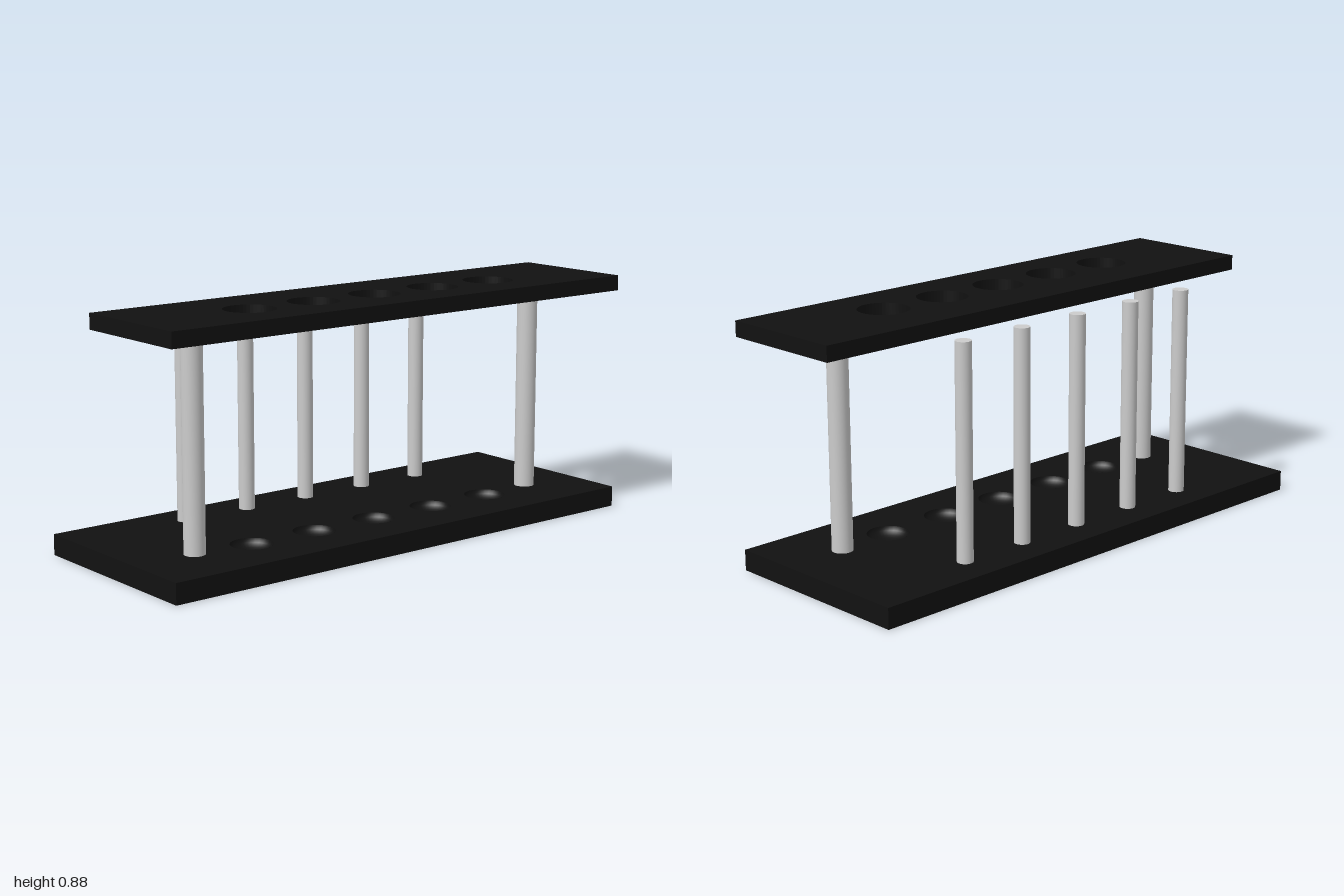
import * as THREE from 'three';

const black = new THREE.MeshStandardMaterial({ color: 0x111111 });
const blackThin = new THREE.MeshStandardMaterial({ color: 0x111111, side: THREE.DoubleSide });
const grey = new THREE.MeshStandardMaterial({ color: 0xcccccc });

const SLOTS = [-0.54, -0.27, 0, 0.27, 0.54];
const SLOT_Z = 0.157;
const BASE_TOP = 0.075;
const SHELF_BOTTOM = 0.828;

function add(group, name, geometry, material, x = 0, y = 0, z = 0) {
  const mesh = new THREE.Mesh(geometry, material);
  mesh.name = name;
  mesh.position.set(x, y, z);
  group.add(mesh);
}

// Horizontal slab from z0 (back) to z1 (front) with one round hole per slot
function drilledSlab(z0, z1, y0, y1, radius) {
  const shape = new THREE.Shape();
  shape.moveTo(-1, -z1).lineTo(1, -z1).lineTo(1, -z0).lineTo(-1, -z0).closePath();
  for (const x of SLOTS) {
    shape.holes.push(new THREE.Path().absarc(x, -SLOT_Z, radius, 0, Math.PI * 2, true));
  }
  return new THREE.ExtrudeGeometry(shape, { depth: y1 - y0, bevelEnabled: false, curveSegments: 24 })
    .rotateX(-Math.PI / 2)
    .translate(0, y0, 0);
}

// Upright rod standing on y0
function rod(radius, y0, y1) {
  return new THREE.CylinderGeometry(radius, radius, y1 - y0, 32).translate(0, (y0 + y1) / 2, 0);
}

export function createModel() {
  const group = new THREE.Group();
  group.name = 'tubeRack';

  // Base: solid lower layer, drilled upper layer, rounded seats in the holes
  const seatRadius = 0.076, seatDepth = 0.04, seatFloor = BASE_TOP - seatDepth;
  add(group, 'baseLower', new THREE.BoxGeometry(2, seatFloor, 0.75), black, 0, seatFloor / 2, 0);
  add(group, 'baseUpper', drilledSlab(-0.375, 0.375, seatFloor, BASE_TOP, seatRadius), black);
  const profile = [];
  for (let i = 0; i <= 8; i++) {
    const a = (i / 8) * Math.PI / 2;
    profile.push(new THREE.Vector2(seatRadius * Math.sin(a), -seatDepth * Math.cos(a) + 0.001 * (1 - i / 8)));
  }
  const seat = new THREE.LatheGeometry(profile, 32);
  for (const x of SLOTS) add(group, 'tubeSeat', seat, blackThin, x, BASE_TOP, SLOT_Z);

  // Upper shelf with through holes
  add(group, 'shelf', drilledSlab(-0.103, 0.375, SHELF_BOTTOM, 0.884, 0.092), black);

  // Two posts carrying the shelf
  const post = rod(0.0375, BASE_TOP, SHELF_BOTTOM);
  for (const side of [-1, 1]) add(group, 'post', post, grey, side * 0.763, 0, 0.138);

  // Drying pegs along the back
  const peg = rod(0.029, BASE_TOP, 0.845);
  for (const x of SLOTS) add(group, 'dryingPeg', peg, grey, x, 0, -0.24);

  return group;
}
